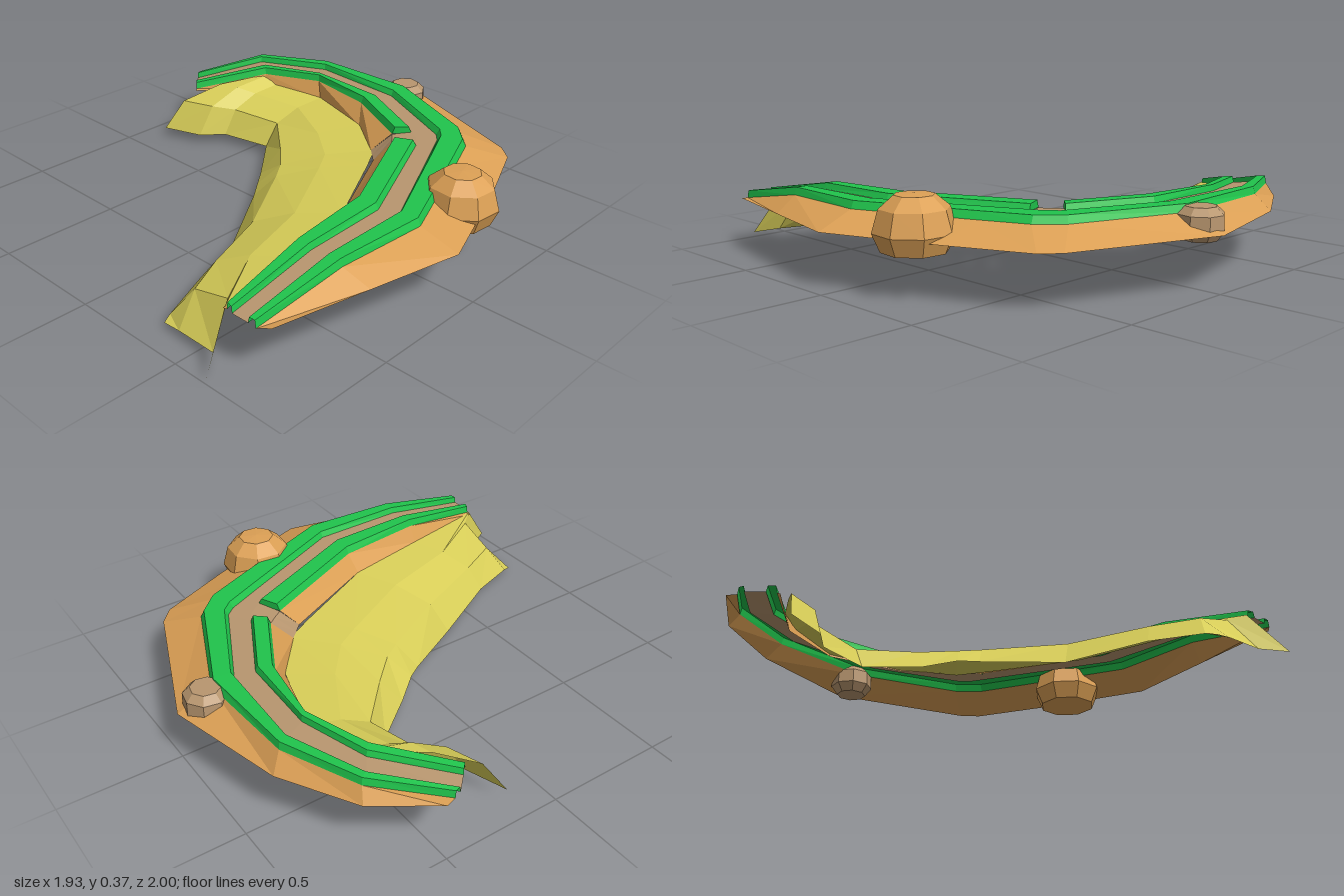
import * as THREE from 'three';

const mat = (name, color) => {
  const m = new THREE.MeshStandardMaterial({ color, side: THREE.DoubleSide });
  m.name = name;
  return m;
};
const lerp = (a, b, t) => a.map((v, i) => v + (b[i] - v) * t);
// plan point [x, z] lifted to height y
const at = ([x, z], y) => [x, y, z];

// Faceted sheet through a list of equal-length cross-sections
function loft(name, material, sections) {
  const pos = [];
  for (let i = 0; i < sections.length - 1; i++) {
    for (let j = 0; j < sections[i].length - 1; j++) {
      const a = sections[i][j], b = sections[i + 1][j];
      const c = sections[i + 1][j + 1], d = sections[i][j + 1];
      pos.push(...a, ...b, ...c, ...a, ...c, ...d);
    }
  }
  const g = new THREE.BufferGeometry();
  g.setAttribute('position', new THREE.Float32BufferAttribute(pos, 3));
  g.computeVertexNormals();
  const mesh = new THREE.Mesh(g, material);
  mesh.name = name;
  return mesh;
}

// Grass band between two plan edges, with bevelled lips
function grassSection(a, b, h) {
  return [at(a, h - 0.03), at(lerp(a, b, 0.13), h), at(lerp(a, b, 0.87), h), at(b, h - 0.025)];
}

// Low-sided boulder turned from a profile of [radius, y]
function boulder(name, material, profile, x, z, sides, turn) {
  const pts = profile.map(([r, y]) => new THREE.Vector2(r, y));
  const g = new THREE.LatheGeometry(pts, sides).toNonIndexed();
  g.computeVertexNormals();
  const mesh = new THREE.Mesh(g, material);
  mesh.name = name;
  mesh.position.set(x, 0, z);
  mesh.rotation.y = turn;
  return mesh;
}

export function createModel() {
  const model = new THREE.Group();
  model.name = 'coastalPath';
  const sand = mat('sand', 0xd8ce58);
  const earth = mat('earth', 0xdca055);
  const grass = mat('grass', 0x20c44c);
  const trail = mat('trail', 0xb8966f);

  // Stations along the ridge: height, earth rim, outer grass edge, outer and inner trail edges
  const ridge = [
    [0.235, [-0.97, -0.48], [-0.95, -0.43], [-0.94, -0.4], [-0.88, -0.34]],
    [0.3, [-0.81, -0.71], [-0.775, -0.69], [-0.75, -0.655], [-0.67, -0.6]],
    [0.31, [-0.51, -0.88], [-0.47, -0.83], [-0.44, -0.78], [-0.39, -0.69]],
    [0.307, [-0.01, -1.0], [-0.01, -0.855], [-0.01, -0.757], [-0.03, -0.677]],
    [0.302, [0.58, -0.78], [0.44, -0.67], [0.38, -0.575], [0.29, -0.52]],
    [0.302, [0.65, -0.72], [0.53, -0.58], [0.415, -0.535], [0.335, -0.495]],
    [0.302, [0.79, -0.4], [0.61, -0.39], [0.495, -0.365], [0.385, -0.43]],
    [0.302, [0.96, 0.06], [0.8, 0.08], [0.7, 0.08], [0.62, 0.1]],
    [0.3, [0.88, 0.45], [0.777, 0.48], [0.71, 0.48], [0.633, 0.48]],
    [0.235, [0.8, 0.84], [0.755, 0.87], [0.72, 0.87], [0.645, 0.87]],
  ];
  model.add(
    loft('outerSlope', earth, ridge.map(([h, rim, g]) => [at(rim, 0.212), at(g, h - 0.03)])),
    loft('outerGrass', grass, ridge.map(([h, , g, p]) => grassSection(g, p, h))),
    loft('trail', trail, ridge.map(([h, , , p, q]) => [at(p, h - 0.025), at(q, h - 0.025)])),
  );

  // Inner bank in two runs: height, trail edge, grass edge, cliff foot
  const bankLeft = [
    [0.235, [-0.88, -0.34], [-0.85, -0.31], [-0.84, -0.3]],
    [0.3, [-0.67, -0.6], [-0.63, -0.565], [-0.62, -0.55]],
    [0.31, [-0.39, -0.69], [-0.37, -0.66], [-0.34, -0.64]],
    [0.307, [-0.03, -0.677], [-0.065, -0.61], [-0.02, -0.545]],
    [0.302, [0.29, -0.52], [0.235, -0.46], [0.18, -0.39]],
  ];
  const bankRight = [
    [0.302, [0.385, -0.43], [0.29, -0.385], [0.25, -0.32]],
    [0.302, [0.62, 0.1], [0.515, 0.1], [0.455, 0.11]],
    [0.3, [0.633, 0.48], [0.565, 0.48], [0.53, 0.48]],
    [0.235, [0.645, 0.87], [0.61, 0.86], [0.59, 0.86]],
  ];
  const endCap = ([h, p, g]) => grassSection(g, p, h).map(([x, , z]) => [x, h - 0.03, z]);
  for (const [side, run] of [['left', bankLeft], ['right', bankRight]]) {
    const lawn = run.map(([h, p, g]) => grassSection(g, p, h));
    if (side === 'left') lawn.push(endCap(run[run.length - 1]));
    else lawn.unshift(endCap(run[0]));
    model.add(
      loft(side + 'InnerGrass', grass, lawn),
      loft(side + 'Cliff', earth, run.map(([h, , g, f]) => [at(g, h - 0.03), at(f, 0.2)])),
    );
  }

  // Ramp dropping from the trail to the beach through the gap
  model.add(loft('beachRamp', trail, [
    [[0.29, 0.277, -0.52], [0.335, 0.277, -0.495], [0.385, 0.277, -0.43]],
    [[0.235, 0.27, -0.46], [0.263, 0.27, -0.425], [0.29, 0.27, -0.385]],
    [[0.18, 0.2, -0.39], [0.215, 0.2, -0.355], [0.25, 0.2, -0.32]],
  ]));

  // Beach: water edge to cliff foot, steep at the water and flat above
  const shore = [
    [[-0.89, 0.04, -0.14], [-0.65, 0.26, -0.55]],
    [[-0.71, 0.04, -0.2], [-0.63, 0.26, -0.555]],
    [[-0.63, 0.04, -0.29], [-0.57, 0.23, -0.58]],
    [[-0.4, 0.04, -0.335], [-0.34, 0.21, -0.64]],
    [[-0.24, 0.03, -0.14], [-0.02, 0.205, -0.545]],
    [[-0.15, 0.05, -0.03], [0.19, 0.2, -0.4]],
    [[-0.1, 0.04, 0.04], [0.265, 0.2, -0.265]],
    [[0.08, 0.0, 0.34], [0.455, 0.2, 0.11]],
    [[0.22, 0.04, 0.64], [0.53, 0.2, 0.48]],
    [[0.3, 0.03, 0.85], [0.6, 0.21, 0.86]],
  ];
  const beach = shore.map(([a, b]) => {
    const lift = (t, k) => { const p = lerp(a, b, t); p[1] = a[1] + (b[1] - a[1]) * k; return p; };
    return [a, lift(0.2, 0.6), lift(0.58, 0.9), b];
  });
  // Pull the last bench back, then drop the beach end to the water
  const last = beach[beach.length - 1];
  last[1] = [0.37, 0.14, 0.79];
  last[2] = [0.55, 0.19, 0.8];
  beach.push([[0.315, 0.02, 0.89], [0.4, 0.03, 0.895], [0.585, 0.04, 0.905], [0.655, 0.02, 1.0]]);
  model.add(loft('beach', sand, beach));

  // Boulders on the outer slope
  model.add(
    boulder('largeBoulder', earth,
      [[0, 0.16], [0.125, 0.16], [0.155, 0.23], [0.13, 0.315], [0.075, 0.362], [0, 0.367]],
      0.755, -0.23, 8, 0.3),
    boulder('smallBoulder', trail,
      [[0, 0.178], [0.065, 0.178], [0.093, 0.215], [0.09, 0.275], [0.06, 0.303], [0, 0.303]],
      -0.03, -0.885, 8, 0.2),
  );
  return model;
}
